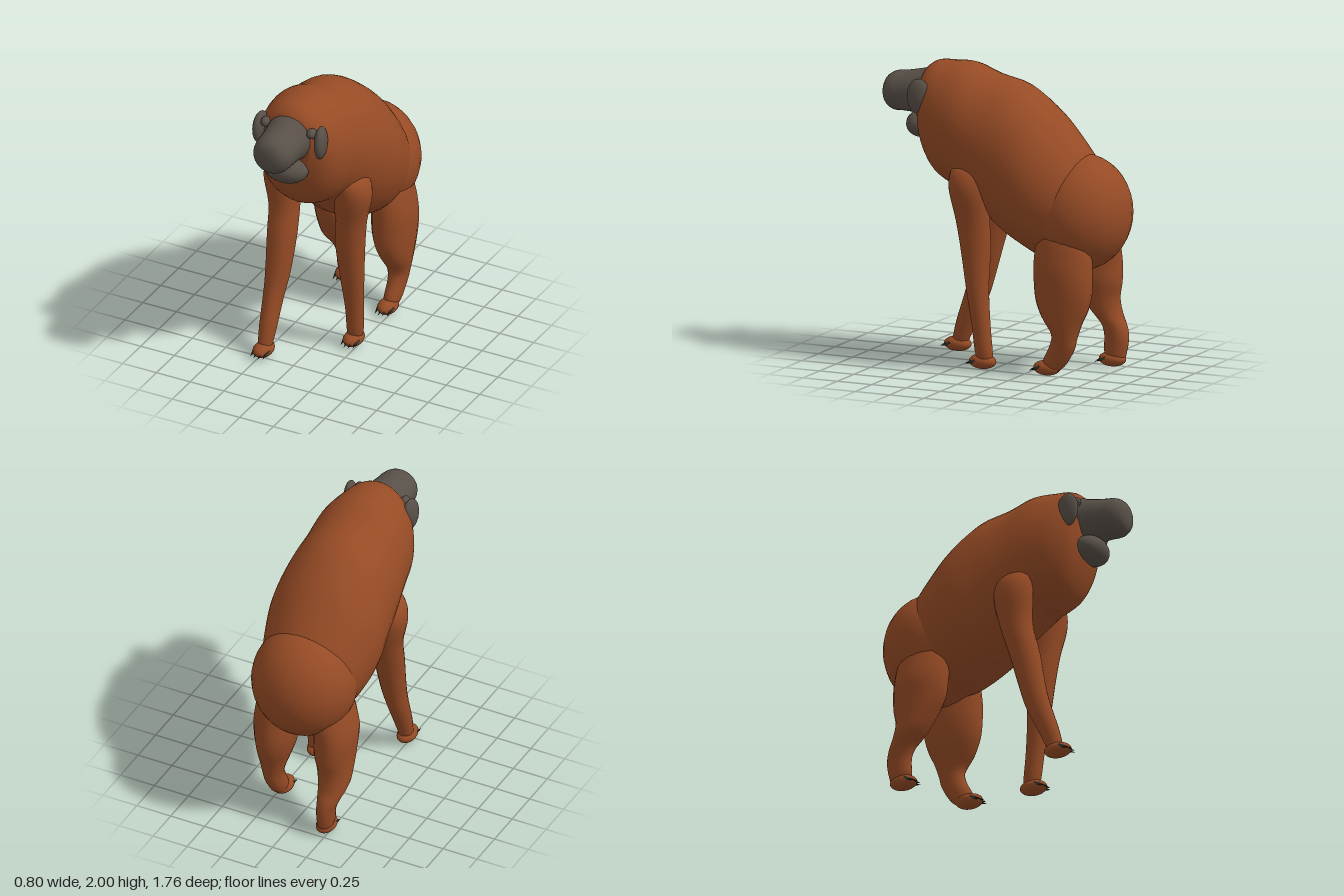
import * as THREE from 'three';

const fur = new THREE.MeshStandardMaterial({ color: 0x964b25 });
fur.name = 'russetFur';
const skin = new THREE.MeshStandardMaterial({ color: 0x585048 });
skin.name = 'greySkin';
const claw = new THREE.MeshStandardMaterial({ color: 0x30332c });
claw.name = 'darkClaw';

// Smooth closed loft. Row: [cx, cy, cz, halfWidth, vy, vz]; ring = c + u cos + v sin.
function loft(rows, segs = 28, sub = 4) {
  const cr = (a, b, c, d, t) =>
    0.5 * (2 * b + (c - a) * t + (2 * a - 5 * b + 4 * c - d) * t * t + (3 * b - a - 3 * c + d) * t * t * t);
  const at = i => rows[Math.max(0, Math.min(rows.length - 1, i))];
  const rings = [];
  for (let i = 0; i < rows.length - 1; i++) {
    for (let s = 0; s < sub; s++) {
      rings.push(rows[i].map((_, k) => cr(at(i - 1)[k], at(i)[k], at(i + 1)[k], at(i + 2)[k], s / sub)));
    }
  }
  rings.push(rows[rows.length - 1]);
  const pos = [], idx = [];
  for (const [x, y, z, w, vy, vz] of rings) {
    for (let j = 0; j < segs; j++) {
      const c = Math.cos(j / segs * Math.PI * 2), s = Math.sin(j / segs * Math.PI * 2);
      pos.push(x + w * c, y + vy * s, z + vz * s);
    }
  }
  const n = rings.length, first = n * segs, last = first + 1;
  pos.push(...rings[0].slice(0, 3), ...rings[n - 1].slice(0, 3));
  for (let j = 0; j < segs; j++) {
    const k = (j + 1) % segs, e = (n - 1) * segs;
    for (let i = 0; i < n - 1; i++) {
      const a = i * segs + j, b = i * segs + k;
      idx.push(a, b, a + segs, b, b + segs, a + segs);
    }
    idx.push(first, k, j, last, e + j, e + k);
  }
  const g = new THREE.BufferGeometry();
  g.setAttribute('position', new THREE.Float32BufferAttribute(pos, 3));
  g.setIndex(idx);
  g.computeVertexNormals();
  return g;
}

function add(parent, name, geometry, material) {
  const m = new THREE.Mesh(geometry, material);
  m.name = name;
  parent.add(m);
  return m;
}

function ellipsoid(parent, name, material, [x, y, z], [rx, ry, rz]) {
  const m = add(parent, name, new THREE.SphereGeometry(1, 28, 20), material);
  m.position.set(x, y, z);
  m.scale.set(rx, ry, rz);
  return m;
}

// Leg rows, top to bottom: [y, xCentre, xRadius, zFront, zBack]; side mirrors x.
function leg(parent, name, side, rows, footZ, tilt) {
  const g = new THREE.Group();
  g.name = name;
  parent.add(g);
  const rings = rows.map(([y, x, rx, zf, zb]) => [side * x, y, (zf + zb) / 2, rx, tilt * (zf - zb), (zf - zb) / 2]);
  add(g, 'limb', loft(rings, 20), fur);
  const x = side * rows[rows.length - 1][1];
  ellipsoid(g, 'foot', fur, [x, 0.055, footZ], [0.064, 0.05, 0.095]);
  for (let i = 0; i < 4; i++) {
    const c = add(g, 'claw', new THREE.ConeGeometry(0.017, 0.08, 8), claw);
    c.rotation.x = Math.PI / 2 + 0.35;
    c.position.set(x + (i - 1.5) * 0.03, 0.05, footZ + 0.085 - Math.abs(i - 1.5) * 0.012);
  }
}

export function createModel() {
  const model = new THREE.Group();
  model.name = 'ape';

  // Torso sections front to back: [topZ, topY, bottomZ, bottomY, halfWidth]
  const torso = [
    [0.585, 1.91, 0.58, 1.47, 0.15],
    [0.55, 1.96, 0.54, 1.36, 0.225],
    [0.49, 1.995, 0.48, 1.26, 0.275],
    [0.40, 2.0, 0.40, 1.2, 0.315],
    [0.25, 2.0, 0.28, 1.15, 0.345],
    [0.08, 1.94, 0.12, 1.02, 0.365],
    [-0.13, 1.885, -0.02, 0.9, 0.385],
    [-0.34, 1.73, -0.14, 0.83, 0.4],
    [-0.50, 1.56, -0.28, 0.76, 0.37],
    [-0.62, 1.41, -0.42, 0.74, 0.32],
    [-0.68, 1.3, -0.52, 0.8, 0.24],
  ].map(([tz, ty, bz, by, w]) => [0, (ty + by) / 2, (tz + bz) / 2, w, (by - ty) / 2, (bz - tz) / 2]);
  add(model, 'torso', loft(torso, 40), fur);
  ellipsoid(model, 'rump', fur, [0, 1.07, -0.54], [0.355, 0.385, 0.34]);

  // Head: bare muzzle, chin and ears
  const head = new THREE.Group();
  head.name = 'head';
  model.add(head);
  add(head, 'muzzle', loft([
    [0, 1.775, 0.56, 0.165, 0.165, 0],
    [0, 1.775, 0.62, 0.155, 0.15, 0],
    [0, 1.77, 0.72, 0.145, 0.135, 0],
    [0, 1.765, 0.80, 0.135, 0.13, 0],
    [0, 1.765, 0.85, 0.105, 0.1, 0],
    [0, 1.765, 0.872, 0.06, 0.055, 0],
    [0, 1.765, 0.878, 0.01, 0.01, 0],
  ]), skin);
  ellipsoid(head, 'chin', skin, [0, 1.565, 0.6], [0.155, 0.095, 0.11]);
  for (const s of [-1, 1]) {
    ellipsoid(head, 'ear', skin, [s * 0.222, 1.785, 0.535], [0.04, 0.117, 0.08]).rotation.y = s * 0.15;
    ellipsoid(head, 'earFold', skin, [s * 0.17, 1.855, 0.565], [0.032, 0.035, 0.04]);
  }

  // Arms: left planted back, right reaching forward
  leg(model, 'leftFrontLeg', 1, [
    [1.38, 0.23, 0.06, 0.22, 0.08], [1.32, 0.25, 0.11, 0.28, 0.03], [1.2, 0.26, 0.125, 0.285, 0.02],
    [1.0, 0.235, 0.105, 0.25, 0.02], [0.8, 0.22, 0.1, 0.22, 0.02], [0.55, 0.225, 0.083, 0.18, 0.03],
    [0.3, 0.228, 0.062, 0.14, 0.015], [0.13, 0.225, 0.056, 0.12, 0.0], [0.05, 0.22, 0.045, 0.1, 0.0],
  ], 0.07, 0);
  leg(model, 'rightFrontLeg', -1, [
    [1.38, 0.23, 0.06, 0.22, 0.08], [1.32, 0.25, 0.11, 0.28, 0.03], [1.2, 0.26, 0.125, 0.29, 0.03],
    [1.0, 0.24, 0.105, 0.28, 0.07], [0.8, 0.23, 0.1, 0.325, 0.13], [0.55, 0.23, 0.083, 0.37, 0.2],
    [0.4, 0.235, 0.068, 0.41, 0.25], [0.2, 0.235, 0.058, 0.475, 0.345], [0.05, 0.235, 0.045, 0.51, 0.41],
  ], 0.47, 0.1);

  // Hind legs: left stepping forward, right trailing
  leg(model, 'leftHindLeg', 1, [
    [1.0, 0.2, 0.1, -0.4, -0.64], [0.9, 0.2, 0.13, -0.33, -0.7], [0.74, 0.215, 0.14, -0.31, -0.715],
    [0.6, 0.215, 0.138, -0.31, -0.715], [0.48, 0.22, 0.122, -0.325, -0.69], [0.38, 0.23, 0.1, -0.37, -0.65],
    [0.28, 0.235, 0.075, -0.44, -0.62], [0.2, 0.235, 0.062, -0.43, -0.6], [0.1, 0.23, 0.056, -0.38, -0.54],
    [0.05, 0.225, 0.045, -0.38, -0.49],
  ], -0.4, 0.08);
  leg(model, 'rightHindLeg', -1, [
    [1.0, 0.2, 0.1, -0.4, -0.66], [0.9, 0.2, 0.13, -0.34, -0.71], [0.74, 0.23, 0.14, -0.34, -0.72],
    [0.6, 0.23, 0.135, -0.36, -0.72], [0.48, 0.24, 0.12, -0.42, -0.7], [0.37, 0.25, 0.105, -0.49, -0.715],
    [0.28, 0.245, 0.078, -0.57, -0.755], [0.2, 0.235, 0.062, -0.6, -0.77], [0.1, 0.23, 0.056, -0.6, -0.755],
    [0.05, 0.225, 0.045, -0.62, -0.74],
  ], -0.66, 0.08);

  return model;
}
